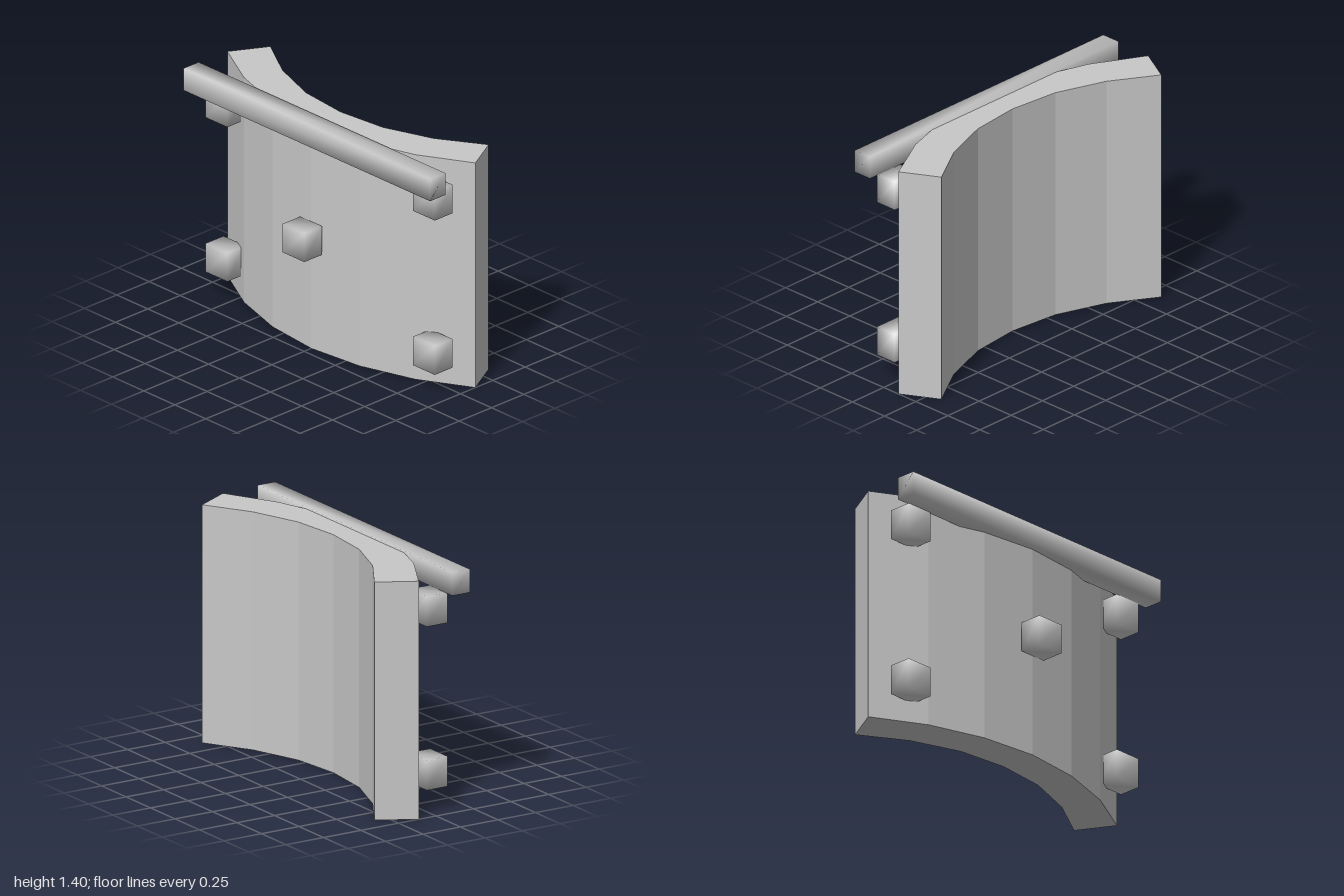
import * as THREE from 'three';
import { mergeVertices } from 'three/addons/utils/BufferGeometryUtils.js';

const grey = new THREE.MeshStandardMaterial({ color: 0xc8c8c8 });
grey.name = 'grey';

// Box with shared corners, so its shading rolls softly over the edges
function softBox(name, w, h, d, x, y, z) {
  const box = new THREE.BoxGeometry(w, h, d);
  box.deleteAttribute('normal');
  box.deleteAttribute('uv');
  const geometry = mergeVertices(box);
  geometry.computeVertexNormals();
  const mesh = new THREE.Mesh(geometry, grey);
  mesh.name = name;
  mesh.position.set(x, y, z);
  return mesh;
}

// Faceted curved slab, extruded upward from its plan outline
function curvedPanel(height) {
  const front = [[0, 0.195], [0.35, 0.158], [0.69, 0.053], [1, -0.115]];
  const back = [[0, -0.03], [0.31, -0.062], [0.61, -0.168], [0.88, -0.333]];
  const mirror = (side) => [...side.slice(1).reverse().map(([x, z]) => [-x, z]), ...side];
  const outline = [...mirror(front), ...mirror(back).reverse()];
  const shape = new THREE.Shape(outline.map(([x, z]) => new THREE.Vector2(x, -z)));
  const geometry = new THREE.ExtrudeGeometry(shape, { depth: height, bevelEnabled: false });
  geometry.rotateX(-Math.PI / 2);
  const mesh = new THREE.Mesh(geometry, grey);
  mesh.name = 'curvedPanel';
  return mesh;
}

export function createModel() {
  const group = new THREE.Group();
  group.name = 'curvedShield';
  group.add(curvedPanel(1.39));

  // Rail across the top of the front
  group.add(softBox('topRail', 1.99, 0.135, 0.118, 0, 1.333, 0.171));

  // Studs: one in the middle, one near each corner
  const stud = (name, x, y, z) => group.add(softBox(name, 0.176, 0.176, 0.138, x, y, z));
  stud('centreStud', 0, 0.698, 0.264);
  for (const [side, x] of [['left', 0.836], ['right', -0.836]]) {
    stud(side + 'UpperStud', x, 1.175, 0.057);
    stud(side + 'LowerStud', x, 0.22, 0.057);
  }
  return group;
}
